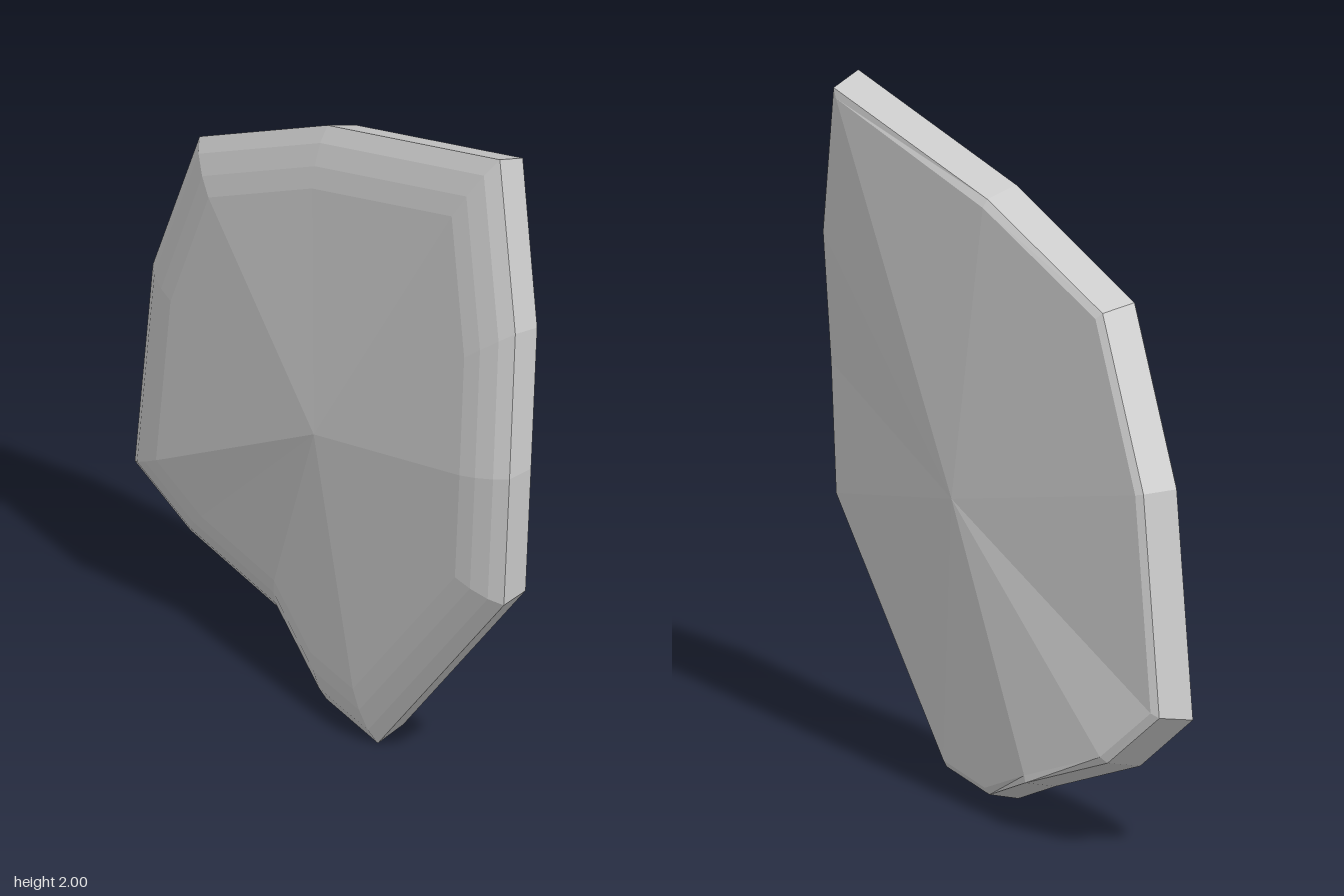
import * as THREE from 'three';

// Rim of the slab, counter-clockwise seen from the front: x, y and z of the front edge
const RIM = [
  [0.67, 2.0, -0.04], [-0.06, 1.83, 0.022], [-0.58, 1.6, 0.085], [-0.8, 1.1, 0.085],
  [-0.885, 0.435, 0.085], [-0.71, 0.265, 0.02], [-0.37, 0.13, -0.045], [-0.05, 0, 0.035],
  [0.26, 0, 0.085], [0.86, 0.69, 0.09], [0.88, 1.1, 0.085], [0.835, 1.53, 0.03],
];
const CX = 0.01, CY = 0.9, FRONT_Z = 0.125, BACK_Z = -0.14;

// One copy of the rim, scaled towards the centre, with z given by a rule
function ring(scale, zRule) {
  return RIM.map(([x, y, z]) => [CX + (x - CX) * scale, CY + (y - CY) * scale, zRule(z)]);
}

// Front rings bulge out and blend towards the height of the front centre
function frontRing(scale, bulge) {
  return ring(scale, (z) => z + bulge + (FRONT_Z - z) * (1 - scale));
}

function slabGeometry() {
  const rings = [
    ring(0.945, (z) => Math.max(BACK_Z, z - 0.112)), // narrow back bevel
    ring(0.97, (z) => z - 0.097),
    frontRing(1, 0), // widest edge
    frontRing(0.95, 0.024), // rounded front bevel
    frontRing(0.88, 0.04),
    frontRing(0.81, 0.046),
  ];
  const n = RIM.length;
  const positions = [...rings.flat(), [CX + 0.02, CY, BACK_Z], [CX, CY, FRONT_Z]].flat();
  const backCentre = rings.length * n, frontCentre = backCentre + 1;
  const last = (rings.length - 1) * n;
  const index = [];
  for (let i = 0; i < n; i++) {
    const j = (i + 1) % n;
    // bands between neighbouring rings
    for (let r = 0; r < last; r += n) {
      index.push(r + i, r + j, r + n + j, r + i, r + n + j, r + n + i);
    }
    // fans closing the back and the front
    index.push(backCentre, j, i, frontCentre, last + i, last + j);
  }
  const indexed = new THREE.BufferGeometry();
  indexed.setAttribute('position', new THREE.Float32BufferAttribute(positions, 3));
  indexed.setIndex(index);
  const geometry = indexed.toNonIndexed();
  geometry.computeVertexNormals();
  return geometry;
}

export function createModel() {
  const group = new THREE.Group();
  group.name = 'stoneShard';
  const material = new THREE.MeshStandardMaterial({ color: 0xcccccc, flatShading: true });
  const slab = new THREE.Mesh(slabGeometry(), material);
  slab.name = 'bevelledSlab';
  group.add(slab);
  return group;
}
